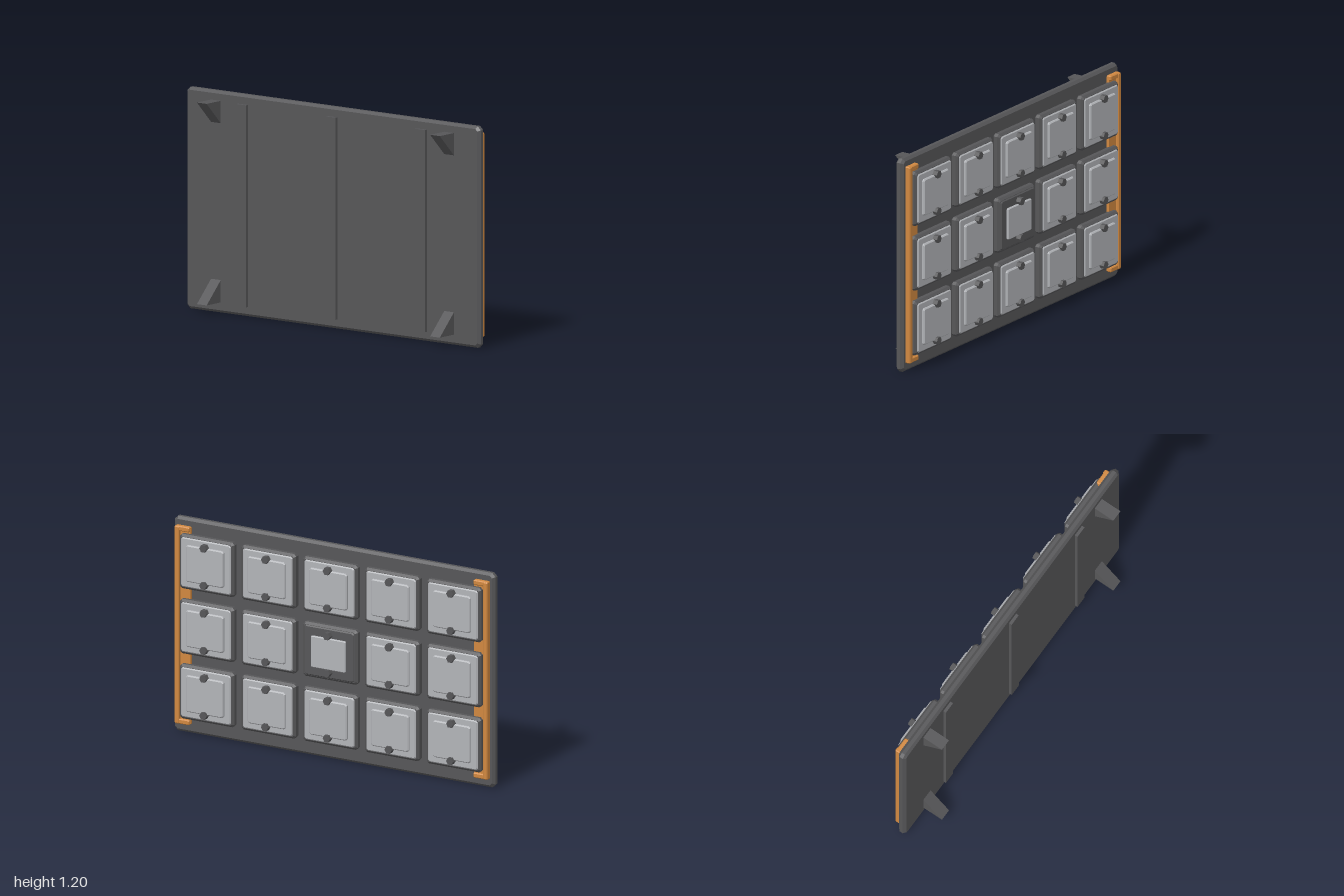
import * as THREE from 'three';

const mat = (name, color) => {
  const m = new THREE.MeshStandardMaterial({ color });
  m.name = name;
  return m;
};

// Bevelled plate facing +x: spans x0..x1, width w along z, height h along y.
function plateGeometry(x0, x1, w, h, bevel, corner) {
  const a = w / 2 - bevel, b = h / 2 - bevel, c = corner;
  const shape = new THREE.Shape([
    [-a + c, -b], [a - c, -b], [a, -b + c], [a, b - c],
    [a - c, b], [-a + c, b], [-a, b - c], [-a, -b + c],
  ].map(([x, y]) => new THREE.Vector2(x, y)));
  const geo = new THREE.ExtrudeGeometry(shape, {
    depth: x1 - x0 - 2 * bevel, bevelEnabled: true,
    bevelThickness: bevel, bevelSize: bevel, bevelSegments: 1,
  });
  return geo.translate(0, 0, bevel).rotateY(Math.PI / 2).translate(x0, 0, 0);
}

export function createModel() {
  const dark = mat('dark metal', 0x565658);
  const grey = mat('light panel', 0xb2b4b8);
  const orange = mat('orange rail', 0xd08840);
  const model = new THREE.Group();
  model.name = 'tiledWallPanel';

  const add = (parent, name, geo, material, x = 0, y = 0, z = 0) => {
    const mesh = new THREE.Mesh(geo, material);
    mesh.name = name;
    mesh.position.set(x, y, z);
    parent.add(mesh);
    return mesh;
  };
  const box = (parent, name, material, [x0, x1], [y0, y1], [z0, z1]) =>
    add(parent, name, new THREE.BoxGeometry(x1 - x0, y1 - y0, z1 - z0), material,
      (x0 + x1) / 2, (y0 + y1) / 2, (z0 + z1) / 2);

  // Backing slab
  add(model, 'backingSlab', plateGeometry(-0.004, 0.044, 2, 1.2, 0.014, 0.012), dark, 0, 0.603, 0);

  // Vertical ribs on the rear
  for (const z of [-0.61, 0, 0.61])
    box(model, 'rearRib', dark, [-0.021, 0], [0.055, 1.15], [z - 0.033, z + 0.033]);

  // Wedge brackets on the rear corners
  const wedge = new THREE.Shape([
    new THREE.Vector2(-0.125, 0), new THREE.Vector2(0, 0), new THREE.Vector2(0, 0.125),
  ]);
  const lower = new THREE.ExtrudeGeometry(wedge, { depth: 0.066, bevelEnabled: false }).translate(0, 0, -0.033);
  const upperShape = new THREE.Shape([
    new THREE.Vector2(-0.125, 0), new THREE.Vector2(0, -0.125), new THREE.Vector2(0, 0),
  ]);
  const upper = new THREE.ExtrudeGeometry(upperShape, { depth: 0.066, bevelEnabled: false }).translate(0, 0, -0.033);
  for (const z of [-0.795, 0.795]) {
    add(model, 'lowerBracket', lower, dark, 0, 0.06, z);
    add(model, 'upperBracket', upper, dark, 0, 1.152, z);
  }

  // Orange channel rails at both ends: web, outer lip and end caps
  for (const s of [-1, 1]) {
    const rail = new THREE.Group();
    rail.name = s > 0 ? 'leftRail' : 'rightRail';
    const span = (a, b) => (s > 0 ? [a, b] : [-b, -a]);
    box(rail, 'railWeb', orange, [0.04, 0.06], [0.06, 1.155], span(0.885, 0.972));
    add(rail, 'railLip', plateGeometry(0.042, 0.077, 0.028, 1.105, 0.005, 0.002), orange, 0, 0.607, s * 0.962);
    for (const y of [0.068, 1.147])
      add(rail, 'railCap', plateGeometry(0.042, 0.073, 0.09, 0.028, 0.005, 0.002), orange, 0, y, s * 0.931);
    model.add(rail);
  }

  // Grid of bolted tiles
  const frameGeo = plateGeometry(0.042, 0.088, 0.34, 0.305, 0.012, 0.006);
  const outerGeo = plateGeometry(0.07, 0.094, 0.31, 0.277, 0.006, 0.006);
  const innerGeo = plateGeometry(0.085, 0.107, 0.235, 0.205, 0.006, 0.006);
  const windowGeo = plateGeometry(0.09, 0.107, 0.215, 0.175, 0.004, 0.003);
  const boltGeo = new THREE.CylinderGeometry(0.022, 0.022, 0.034, 6).rotateZ(-Math.PI / 2).toNonIndexed();
  boltGeo.computeVertexNormals();
  for (let row = -1; row <= 1; row++) {
    for (let col = -2; col <= 2; col++) {
      const tile = new THREE.Group();
      tile.name = 'tile';
      tile.position.set(0, 0.607 + row * 0.364, col * 0.385);
      const middle = row === 0 && col === 0;
      add(tile, 'tileFrame', frameGeo, dark);
      // The middle tile has a dark face around a smaller light window
      add(tile, 'tileFace', outerGeo, middle ? dark : grey);
      add(tile, 'tilePanel', middle ? windowGeo : innerGeo, grey);
      for (const s of [-1, 1]) add(tile, 'bolt', boltGeo, dark, 0.106, s * 0.104, 0);
      model.add(tile);
    }
  }
  return model;
}
